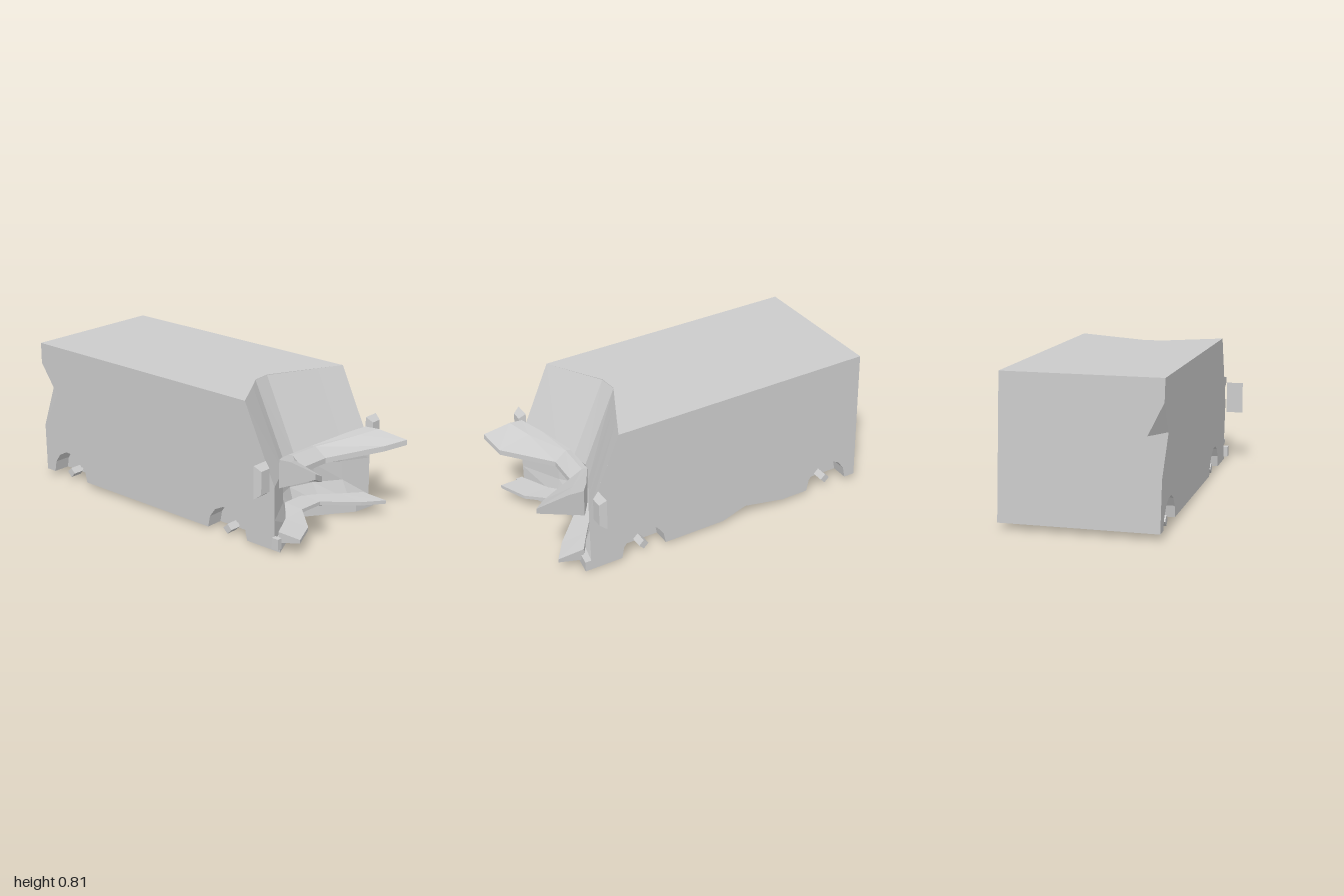
import * as THREE from 'three';

const V = (x, y, z) => new THREE.Vector3(x, y, z);
const material = new THREE.MeshStandardMaterial({ color: 0xcccccc, flatShading: true, side: THREE.DoubleSide });

// overall body rules: half width, tilted roof and floor heights
const W = 0.422;
const roofY = z => 0.8 - 0.0196 * z;
const floorY = z => 0.025 - 0.0171 * z;
// the whole shell leans slightly to one side
const lean = p => V(p.x - 0.025 * (p.y - 0.4) - 0.004, p.y, p.z);

function meshFrom(name, tris) {
  const geo = new THREE.BufferGeometry().setFromPoints(tris);
  geo.computeVertexNormals();
  const mesh = new THREE.Mesh(geo, material);
  mesh.name = name;
  return mesh;
}

// fills a nearly flat outline; a and b are the axes it is flattened to
function fill(pts, a, b) {
  const faces = THREE.ShapeUtils.triangulateShape(pts.map(p => new THREE.Vector2(p[a], p[b])), []);
  return faces.flat().map(i => pts[i]);
}

// joins rows of points into a skin, optionally closing each row and capping the ends
function skin(rows, closed = false) {
  const out = [], n = rows[0].length;
  for (let r = 0; r < rows.length - 1; r++)
    for (let i = 0; i < (closed ? n : n - 1); i++) {
      const j = (i + 1) % n, p = rows[r], q = rows[r + 1];
      out.push(p[i], q[i], q[j], p[i], q[j], p[j]);
    }
  if (closed) for (const row of [rows[0], rows[rows.length - 1]]) out.push(...fill(row, 'z', 'y'));
  return out;
}

// half-round wheel opening in (z, y), front to back
const wells = [0.4, -0.8];
const R = 0.135, DEPTH = 0.1;
const arch = (x, zc) => Array.from({ length: 8 }, (_, i) => {
  const t = Math.PI * i / 7, z = zc + R * Math.cos(t);
  return V(x, floorY(z) + 0.148 * Math.sin(t), z);
});

function buildBody() {
  const body = new THREE.Group();
  body.name = 'vanBody';
  const add = (name, tris) => body.add(meshFrom(name, tris.map(lean)));

  // crumpled nose: each row is height, undented depth, and inward dent per column
  const cols = [-W, -0.2, -0.11, 0, 0.14, 0.28, W];
  const rows = [
    [0.79, 0.53, [0, 0.13, 0.185, 0.195, 0.13, 0.065, 0]],
    [0.365, 0.72, [0, 0.12, 0.18, 0.195, 0.14, 0.07, 0]],
    [0.29, 0.72, [0, 0.12, 0.2, 0.22, 0.17, 0.08, 0]],
    [0.18, 0.72, [0, 0.12, 0.2, 0.23, 0.18, 0.08, 0]],
    [0.07, 0.72, [0, 0.1, 0.16, 0.2, 0.12, 0.03, 0]],
    [0.07, 0.755, [0, 0.1, 0.16, 0.22, 0.12, 0.02, 0]],
    [0.012, 0.755, [0, 0.1, 0.16, 0.22, 0.12, 0.02, 0]],
  ].map(([y, z, dent]) => cols.map((x, i) => V(x, y, z - dent[i])));
  add('windscreen', skin(rows.slice(0, 2)));
  add('nose', skin(rows.slice(1)));

  // roof follows the dented windscreen edge
  for (const p of rows[0]) p.y = roofY(p.z);
  add('roof', fill([...rows[0], V(W, roofY(-1), -0.99), V(-W, roofY(-1), -0.99)], 'x', 'z'));

  // corner dent at the rear and the bent sill
  const dent = [V(-W, 0.7, -0.993), V(-W, 0.53, -0.88), V(-W, 0.32, -0.997), V(-W + 0.08, 0.53, -0.995)];
  add('rearCornerDent', [dent[0], dent[1], dent[3], dent[3], dent[1], dent[2]]);
  const sill = [V(W, floorY(-0.1), -0.1), V(W, 0.077, -0.25), V(W, floorY(-0.5), -0.5)];
  const sillInner = V(0.26, floorY(-0.28), -0.28);
  add('sillDent', [sill[0], sill[1], sillInner, sillInner, sill[1], sill[2]]);

  // side walls with wheel openings
  for (const s of [-1, 1]) {
    const x = s * W;
    add(s > 0 ? 'leftSide' : 'rightSide', fill([
      V(x, roofY(0.53), 0.53), V(x, 0.365, 0.72), V(x, 0.07, 0.72), V(x, 0.07, 0.755), V(x, 0.012, 0.755),
      ...arch(x, wells[0]), ...(s > 0 ? sill : []), ...arch(x, wells[1]),
      V(x, floorY(-1), -1), ...(s < 0 ? [dent[2], dent[1], dent[0]] : []), V(x, roofY(-1), -0.99),
    ], 'z', 'y'));
    for (const zc of wells) {
      const inner = arch(x - s * DEPTH, zc);
      add('wheelWell', [...skin([arch(x, zc), inner]), ...fill(inner, 'z', 'y')]);
    }
  }

  // rear wall
  add('rearWall', fill([V(W, roofY(-1), -0.99), V(W, floorY(-1), -1), V(-W, floorY(-1), -1),
    dent[2], dent[3], dent[0], V(-W, roofY(-1), -0.99)], 'x', 'y'));

  // floor with rectangular gaps at the wheel wells
  const F = (x, z) => V(x, floorY(z), z);
  const edge = (s, zc) => [F(s * W, zc + R), F(s * (W - DEPTH), zc + R), F(s * (W - DEPTH), zc - R), F(s * W, zc - R)];
  add('floor', fill([...rows[6],
    ...edge(1, wells[0]), sill[0], sillInner, sill[2], ...edge(1, wells[1]),
    F(W, -1), F(-W, -1),
    ...edge(-1, wells[1]).reverse(), ...edge(-1, wells[0]).reverse(),
  ], 'x', 'z'));
  return body;
}

function box(name, size, pos, rotX = 0) {
  const mesh = new THREE.Mesh(new THREE.BoxGeometry(...size), material);
  mesh.name = name;
  mesh.position.set(...pos);
  mesh.rotation.x = rotX;
  return mesh;
}

export function createModel() {
  const model = new THREE.Group();
  model.name = 'wreckedVan';
  model.add(buildBody());

  // torn bonnet strip: x, back z, back bottom y, top y, tip z, tip y
  const bonnet = [
    [-0.39, 0.72, 0.35, 0.51, 0.95, 0.47],
    [-0.28, 0.65, 0.35, 0.475, 0.91, 0.415],
    [-0.11, 0.56, 0.335, 0.42, 0.655, 0.35],
    [0.09, 0.56, 0.335, 0.415, 0.66, 0.35],
    [0.28, 0.66, 0.325, 0.465, 0.91, 0.425],
    [0.37, 0.72, 0.33, 0.49, 0.99, 0.455],
  ].map(([x, zb, yb, yt, zt, y]) => [
    V(x, yb, zb), V(x, yt - 0.005, zb), V(x, yt, zb + (zt - zb) * 0.32), V(x, y + 0.015, zt), V(x, y - 0.015, zt),
  ]);
  model.add(meshFrom('bonnetStrip', skin(bonnet, true)));

  // bent bumper: x, back z, bottom y, top y, tip z, tip y
  const bumper = [
    [-0.4, 0.73, 0.055, 0.115, 0.87, 0.1],
    [-0.24, 0.65, 0.06, 0.115, 0.8, 0.1],
    [-0.09, 0.53, 0.06, 0.13, 0.645, 0.11],
    [0.07, 0.53, 0.055, 0.125, 0.645, 0.105],
    [0.24, 0.65, 0.045, 0.112, 0.8, 0.09],
    [0.36, 0.73, 0.037, 0.105, 0.88, 0.085],
  ].map(([x, zb, yb, yt, zt, y]) => [
    V(x, yb, zb), V(x, yt, zb), V(x, y + 0.01, zt), V(x, y - 0.01, zt),
  ]);
  model.add(meshFrom('frontBumper', skin(bumper, true)));
  model.add(box('bumperBracket', [0.03, 0.06, 0.04], [-0.427, 0.063, 0.74]));

  // wing mirrors: boxes whose front face is narrowed
  for (const s of [-1, 1]) {
    const mirror = box(s > 0 ? 'leftMirror' : 'rightMirror', [0.096, 0.18, 0.038], [s * 0.489, s > 0 ? 0.42 : 0.412, 0.692]);
    const p = mirror.geometry.attributes.position;
    for (let i = 0; i < p.count; i++)
      if (p.getZ(i) > 0) p.setXY(i, p.getX(i) * 0.68, p.getY(i) * 0.7);
    model.add(mirror);
  }

  // thin axles with square hub stubs
  for (const zc of wells) {
    const y = floorY(zc) + 0.02;
    model.add(box('axle', [0.76, 0.012, 0.012], [0, y, zc - 0.01], Math.PI / 4));
    for (const s of [-1, 1]) model.add(box('hubStub', [0.07, 0.04, 0.04], [s * 0.37, y, zc - 0.01], Math.PI / 4));
  }
  return model;
}
